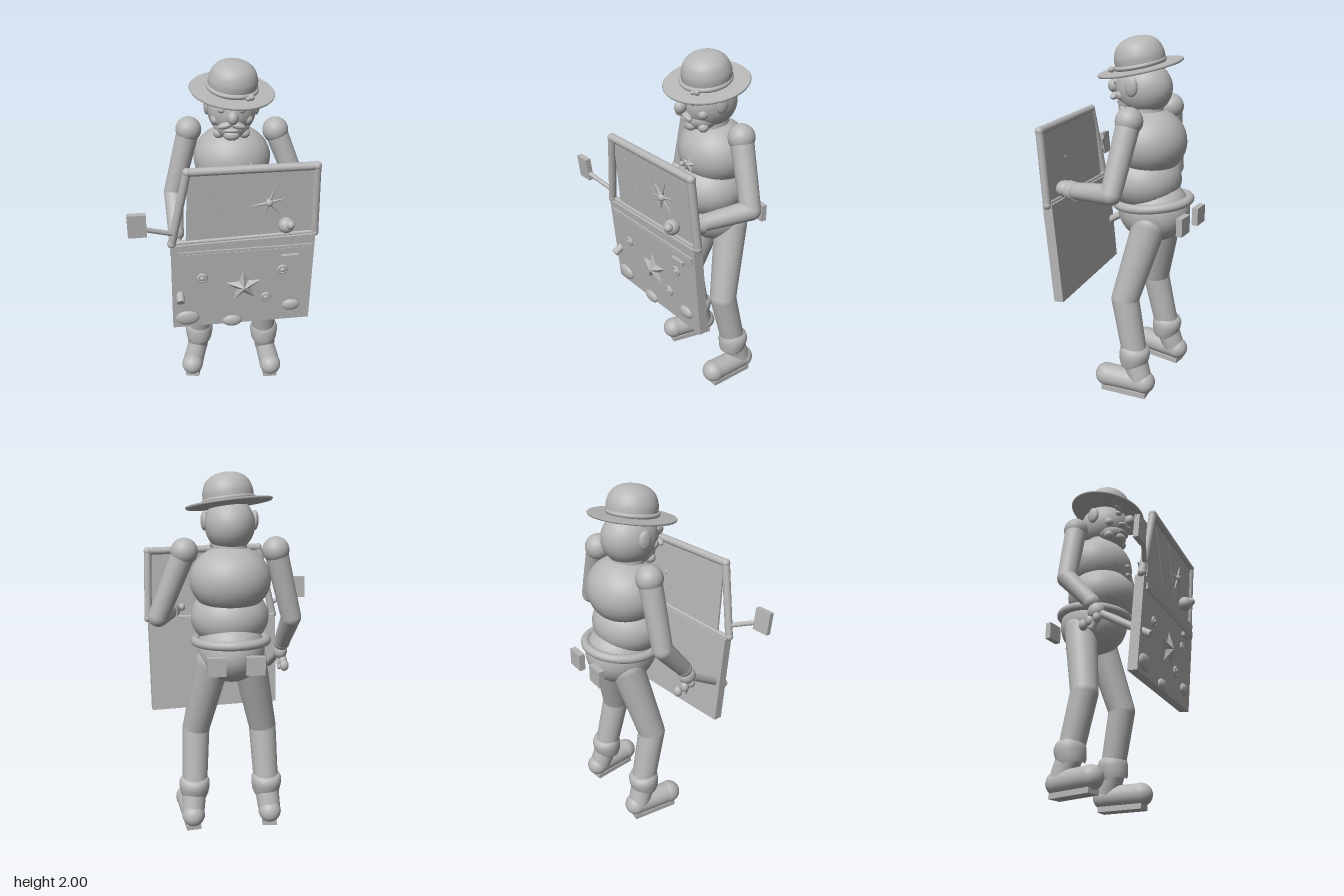
import * as THREE from 'three';

export function createModel() {
  const root = new THREE.Group();
  const grey = new THREE.MeshStandardMaterial({ color: 0xb6b6b6 });
  grey.name = 'plain grey';
  const V = (p) => new THREE.Vector3(...p);

  const add = (name, geo, pos = [0, 0, 0], parent = root, rot = [0, 0, 0]) => {
    const m = new THREE.Mesh(geo, grey);
    m.name = name;
    m.position.set(...pos);
    m.rotation.set(...rot);
    parent.add(m);
    return m;
  };
  const group = (name, pos, rot = [0, 0, 0], order = 'XYZ') => {
    const g = new THREE.Group();
    g.name = name;
    g.position.set(...pos);
    g.rotation.set(...rot, order);
    root.add(g);
    return g;
  };
  const ball = (name, pos, r, parent = root, rot) => {
    const m = add(name, new THREE.SphereGeometry(1, 32, 20), pos, parent, rot);
    Array.isArray(r) ? m.scale.set(...r) : m.scale.setScalar(r);
    return m;
  };
  const box = (name, size, pos, parent, rot) => add(name, new THREE.BoxGeometry(...size), pos, parent, rot);
  // Tapered cylinder running from a to b
  const rod = (name, a, b, ra, rb = ra, parent = root) => {
    const d = V(b).sub(V(a));
    const m = add(name, new THREE.CylinderGeometry(rb, ra, d.length(), 24), V(a).addScaledVector(d, 0.5).toArray(), parent);
    m.quaternion.setFromUnitVectors(new THREE.Vector3(0, 1, 0), d.normalize());
    return m;
  };
  // Raised five-pointed star with a central peak
  const star = (name, r, depth, pos, parent, rot) => {
    const v = [], pt = (i) => {
      const a = Math.PI / 2 + i * Math.PI / 5, q = i % 2 ? r * 0.4 : r;
      return [Math.cos(a) * q, Math.sin(a) * q, 0];
    };
    for (let i = 0; i < 10; i++) {
      v.push(0, 0, depth, ...pt(i), ...pt(i + 1));
      v.push(0, 0, -depth * 0.3, ...pt(i + 1), ...pt(i));
    }
    const g = new THREE.BufferGeometry();
    g.setAttribute('position', new THREE.Float32BufferAttribute(v, 3));
    g.computeVertexNormals();
    return add(name, g, pos, parent, rot);
  };

  // Torso
  ball('chest', [0.035, 1.44, -0.17], [0.22, 0.185, 0.2]);
  ball('belly', [0.035, 1.23, -0.14], [0.215, 0.17, 0.205]);
  ball('hips', [0.035, 1.06, -0.2], [0.185, 0.18, 0.205]);
  const belt = add('belt', new THREE.TorusGeometry(0.195, 0.025, 14, 48), [0.035, 1.11, -0.195], root, [Math.PI / 2 + 0.1, 0, 0]);
  belt.scale.y = 1.05;
  rod('neck', [0.035, 1.55, -0.15], [0.035, 1.66, -0.14], 0.1, 0.09);
  for (const x of [-0.07, 0.135]) box('beltPouch', [0.1, 0.1, 0.035], [x, 1.03, -0.425]);
  star('chestBadge', 0.05, 0.015, [0.14, 1.44, 0.06], root, [-0.15, 0.3, 0]);
  for (const y of [1.4, 1.34]) ball('button', [0.035, y, 0.04], 0.014);

  // Legs and shoes, mirrored about the body axis
  for (const s of [-1, 1]) {
    const X = (d) => 0.037 + s * d;
    const hip = [X(0.1), 1.0, -0.225], knee = [X(0.193), 0.57, -0.125], ankle = [X(0.21), 0.2, -0.205];
    ball('hipJoint', hip, 0.095);
    rod('thigh', hip, knee, 0.095, 0.078);
    ball('knee', knee, 0.078);
    rod('shin', knee, ankle, 0.078, 0.07);
    const cuff = add('bootCuff', new THREE.LatheGeometry([[0.07, -0.07], [0.08, -0.045], [0.087, 0], [0.087, 0.03], [0.075, 0.055], [0.05, 0.06]]
      .map(p => new THREE.Vector2(...p)), 28), [X(0.21), 0.24, -0.195]);
    cuff.rotation.x = -0.15;
    rod('boot', [X(0.212), 0.21, -0.2], [X(0.222), 0.1, -0.24], 0.07, 0.065);
    const heel = [X(0.222), 0.085, -0.262], toe = [X(0.248), 0.085, -0.035];
    ball('heel', heel, 0.065);
    ball('toe', toe, [0.066, 0.066, 0.068]);
    rod('shoe', heel, toe, 0.063, 0.064);
    box('sole', [0.085, 0.03, 0.27], [X(0.235), 0.015, -0.15], root, [0, s * 0.11, 0]);
  }

  // Right arm, hanging down to the pistol
  const arm = (side, shoulder, elbow, wrist) => {
    ball(side + 'Shoulder', shoulder, 0.073);
    rod(side + 'UpperArm', shoulder, elbow, 0.064, 0.056);
    ball(side + 'Elbow', elbow, 0.056);
    rod(side + 'Forearm', elbow, wrist, 0.056, 0.045);
    ball(side + 'Wrist', wrist, 0.047);
  };
  arm('right', [-0.21, 1.595, -0.175], [-0.305, 1.22, -0.16], [-0.285, 1.03, 0.0]);
  ball('rightHand', [-0.283, 0.97, 0.03], [0.04, 0.05, 0.05]);
  for (let i = 0; i < 3; i++) ball('rightFinger', [-0.295, 0.9 + i * 0.012, -0.045 + i * 0.045], [0.026, 0.032, 0.024]);
  rod('pistolGrip', [-0.28, 0.96, 0.05], [-0.285, 0.87, 0.0], 0.022);
  rod('pistolBarrel', [-0.28, 0.95, 0.06], [-0.243, 0.77, 0.345], 0.022);

  // Left arm, bent forward to hold the door
  arm('left', [0.28, 1.595, -0.175], [0.425, 1.24, -0.15], [0.355, 1.2, 0.13]);
  rod('leftCuff', [0.362, 1.2, 0.1], [0.35, 1.2, 0.15], 0.052);
  ball('leftHand', [0.34, 1.2, 0.185], [0.05, 0.045, 0.055]);
  ball('leftThumb', [0.285, 1.21, 0.19], 0.022);
  ball('leftFingers', [0.325, 1.21, 0.27], 0.043);
  ball('leftFingertip', [0.345, 1.225, 0.3], 0.024);

  // Head and face
  const head = group('head', [0.033, 1.73, -0.13]);
  ball('skull', [0, 0, 0], [0.135, 0.145, 0.158], head);
  ball('jaw', [0, -0.08, 0.045], [0.1, 0.07, 0.1], head);
  for (const s of [-1, 1]) {
    ball('ear', [s * 0.135, 0.02, 0.005], [0.02, 0.053, 0.037], head);
    ball('eye', [s * 0.052, 0.03, 0.135], [0.026, 0.02, 0.018], head);
    const brow = ball('brow', [s * 0.052, 0.058, 0.14], [0.042, 0.01, 0.016], head);
    brow.rotation.z = s * 0.35;
    const tash = ball('moustache', [s * 0.034, -0.05, 0.158], [0.042, 0.018, 0.022], head);
    tash.rotation.z = -s * 0.25;
    ball('cheek', [s * 0.085, -0.035, 0.09], [0.03, 0.03, 0.03], head);
    ball('jowl', [s * 0.07, -0.115, 0.08], [0.032, 0.028, 0.03], head);
  }
  ball('nose', [0.007, -0.003, 0.182], [0.03, 0.036, 0.034], head);
  ball('lip', [0, -0.083, 0.14], [0.04, 0.012, 0.018], head);
  ball('chin', [0, -0.115, 0.12], [0.045, 0.03, 0.03], head);

  // Hat, tipped forward and to the side
  const hat = group('hat', [0.035, 1.835, -0.11], [0.187, 0, -0.1]);
  const lathe = (pts) => new THREE.LatheGeometry(new THREE.SplineCurve(pts.map(p => new THREE.Vector2(...p))).getPoints(30), 48);
  add('crown', lathe([[0.13, -0.01], [0.136, 0.04], [0.132, 0.08], [0.11, 0.125], [0.065, 0.155], [0.0001, 0.166]]), [0, 0, -0.005], hat);
  add('brim', new THREE.LatheGeometry([[0.001, -0.018], [0.13, -0.016], [0.23, -0.005], [0.235, 0.003], [0.23, 0.008], [0.14, 0.008], [0.001, 0.01]]
    .map(p => new THREE.Vector2(...p)), 48), [0, 0, 0], hat);
  const band = add('hatBand', new THREE.TorusGeometry(0.132, 0.013, 12, 48), [0, 0.022, 0], hat);
  band.rotation.x = Math.PI / 2;
  ball('hatBadge', [0.1, 0.025, 0.12], 0.017, hat);
  ball('hatBadgeStud', [0.083, 0.022, 0.135], 0.012, hat);

  // Door shield, turned and leaning forward
  const door = group('doorShield', [0.09, 0.575, 0.21], [0.09, 0.136, 0], 'YXZ');
  const panel = new THREE.Shape([[-0.39, 0], [0.39, 0.01], [0.39, 0.57], [-0.39, 0.54]].map(p => new THREE.Vector2(...p)));
  add('doorPanel', new THREE.ExtrudeGeometry(panel, { depth: 0.055, bevelEnabled: false }), [0, 0, -0.0275], door);
  const F = 0.03;
  box('trimStrip', [0.73, 0.038, 0.014], [0.01, 0.49, F], door, [0, 0, 0.015]);
  box('trimGroove', [0.7, 0.006, 0.02], [0.01, 0.492, F], door, [0, 0, 0.015]);
  box('doorHandle', [0.095, 0.022, 0.03], [0.255, 0.442, F], door, [0, 0, 0.03]);
  rod('windowLedge', [-0.38, 0.545, 0], [0.38, 0.573, 0], 0.014, 0.014, door);
  star('doorStar', 0.105, 0.035, [0.005, 0.26, F], door, [0, 0, 0.05]);
  for (const [x, y, rx, ry] of [[-0.31, 0.065, 0.067, 0.046], [-0.055, 0.025, 0.055, 0.036], [0.28, 0.11, 0.05, 0.036]])
    ball('mudSplat', [x, y, F], [rx, ry, 0.022], door);
  for (const [x, y] of [[-0.225, 0.33], [0.22, 0.355], [0.135, 0.175]]) {
    add('bulletHoleRim', new THREE.TorusGeometry(0.022, 0.009, 10, 24), [x, y, F], door);
    ball('bulletHole', [x, y, F], [0.017, 0.017, 0.015], door);
  }

  // Window glass, frame and cracks
  const pane = new THREE.Shape([[-0.31, 0.53], [0.385, 0.55], [0.375, 0.965], [-0.295, 0.965]].map(p => new THREE.Vector2(...p)));
  add('glass', new THREE.ExtrudeGeometry(pane, { depth: 0.012, bevelEnabled: false }), [0, 0, -0.006], door);
  const frame = [[-0.385, 0.55, 0.01], [-0.298, 0.965, 0.01], [0.375, 0.965, 0], [0.39, 0.57, 0]];
  frame.forEach((p, i) => {
    ball('frameCorner', p, 0.024, door);
    if (i) rod('windowFrame', frame[i - 1], p, 0.022, 0.022, door);
  });
  for (const x of [-0.15, 0.045]) box('glassStreak', [0.006, 0.34, 0.003], [x, 0.77, 0.007], door, [0, 0, 0.48]);
  ball('crackCentre', [0.13, 0.77, 0.012], 0.022, door);
  for (let i = 0; i < 6; i++) {
    const a = 0.2 + i * Math.PI / 3, l = i % 2 ? 0.1 : 0.085;
    rod('crackRay', [0.13, 0.77, 0.012], [0.13 + Math.cos(a) * l, 0.77 + Math.sin(a) * l, 0.01], 0.009, 0.002, door);
  }

  // Wing mirror
  rod('mirrorArm', [-0.26, 1.18, 0.325], [-0.41, 1.245, 0.405], 0.013);
  box('wingMirror', [0.098, 0.13, 0.03], [-0.45, 1.27, 0.41], root, [0.1, 0.136, 0]);

  return root;
}
